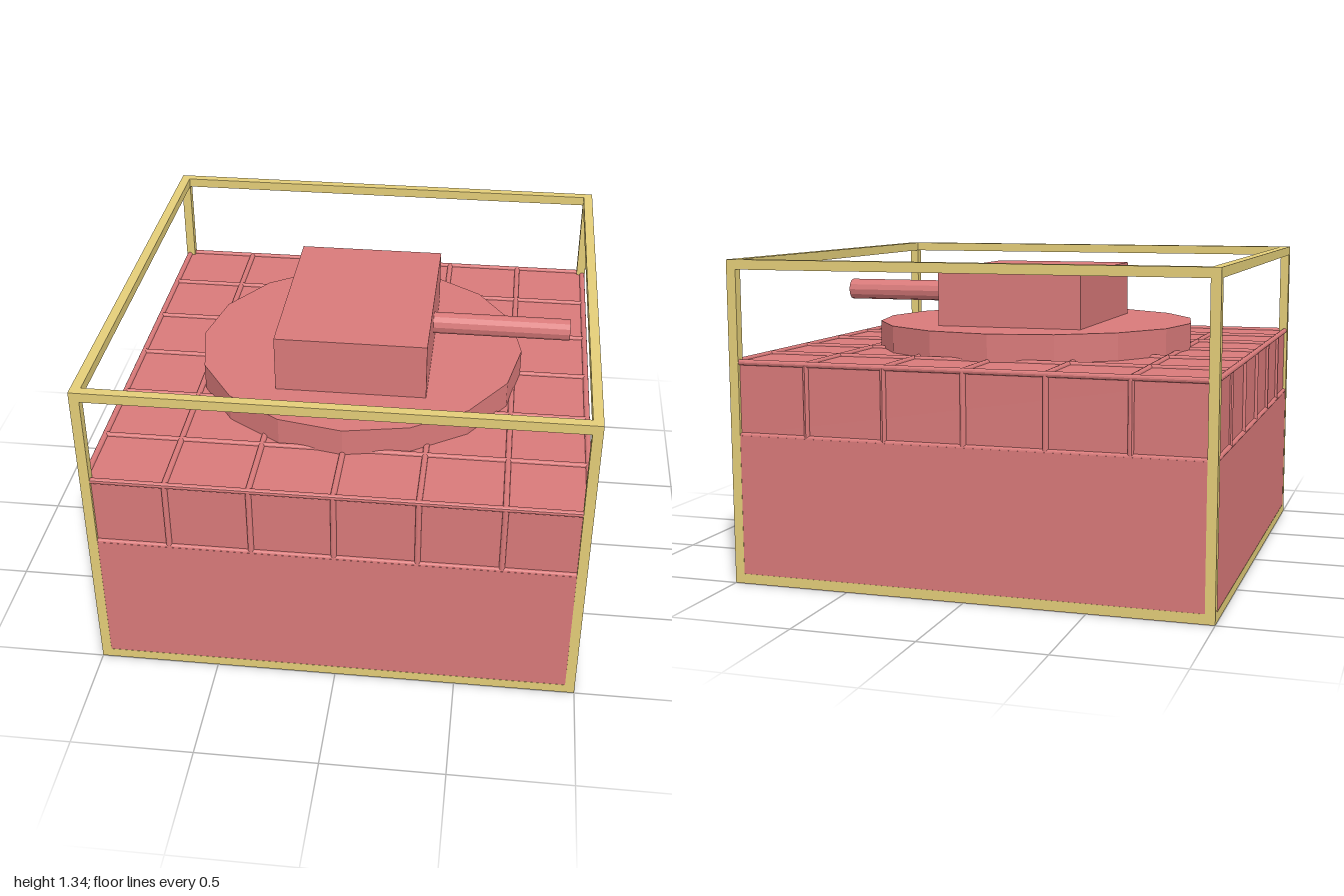
import * as THREE from 'three';

const red = new THREE.MeshStandardMaterial({ color: 0xd87979, flatShading: true });
red.name = 'dusty red';
const yellow = new THREE.MeshStandardMaterial({ color: 0xe3cd78, flatShading: true });
yellow.name = 'khaki yellow';

function add(parent, name, geometry, material, x = 0, y = 0, z = 0) {
  const mesh = new THREE.Mesh(geometry, material);
  mesh.name = name;
  mesh.position.set(x, y, z);
  parent.add(mesh);
  return mesh;
}

function group(parent, name) {
  const g = new THREE.Group();
  g.name = name;
  parent.add(g);
  return g;
}

const box = (w, h, d) => new THREE.BoxGeometry(w, h, d);

// Thin half-sunk rod along one axis
function seam(parent, axis, length, x, y, z) {
  const geometry = new THREE.CylinderGeometry(0.012, 0.012, length, 12);
  if (axis === 'x') geometry.rotateZ(Math.PI / 2);
  if (axis === 'z') geometry.rotateX(Math.PI / 2);
  add(parent, 'seam', geometry, red, x, y, z);
}

export function createModel() {
  const model = new THREE.Group();
  model.name = 'turretBlock';

  // Solid base and the slightly inset tiled storey above it
  const half = 0.986, ledge = 0.62, deck = 0.92;
  add(model, 'base', box(1.998, ledge, 1.998), red, 0, ledge / 2, 0);
  add(model, 'upperBlock', box(2 * half, deck - ledge, 2 * half), red, 0, (deck + ledge) / 2, 0);

  // Raised seams dividing the deck and the sides into six tiles each way
  const seams = group(model, 'tileSeams');
  for (let i = -2; i <= 2; i++) {
    const p = i / 3;
    seam(seams, 'x', 2 * half, 0, deck, p);
    seam(seams, 'z', 2 * half, p, deck, 0);
    for (const s of [-1, 1]) {
      seam(seams, 'y', deck - ledge, p, (deck + ledge) / 2, s * half);
      seam(seams, 'y', deck - ledge, s * half, (deck + ledge) / 2, p);
    }
  }

  // Seams around the top edge and the foot of the upper storey
  for (const s of [-1, 1]) {
    for (const y of [ledge, deck]) {
      seam(seams, 'x', 2 * half, 0, y, s * half);
      seam(seams, 'z', 2 * half, s * half, y, 0);
    }
  }

  // Turret: sixteen-sided ring, housing and barrel pointing to +x
  const turret = group(model, 'turret');
  add(turret, 'turretRing', new THREE.CylinderGeometry(0.7, 0.7, 0.115, 16), red, 0, 0.9775, 0);
  add(turret, 'turretHousing', box(0.63, 0.24, 0.84), red, 0, 1.155, 0);
  const barrel = new THREE.CylinderGeometry(0.046, 0.046, 0.6, 12).rotateZ(Math.PI / 2);
  add(turret, 'barrel', barrel, red, 0.6, 1.155, 0);

  // Open cage of square bars along all twelve edges
  const frame = group(model, 'frame');
  const bar = 0.04, top = 1.335, edge = 1 - bar / 2;
  for (const s of [-1, 1]) {
    for (const y of [bar / 2 + 0.001, top - bar / 2]) {
      add(frame, 'frameBarAcross', box(2, bar, bar), yellow, 0, y, s * edge);
      add(frame, 'frameBarAlong', box(bar, bar, 2 - 2 * bar), yellow, s * edge, y, 0);
    }
    for (const t of [-1, 1]) {
      add(frame, 'framePost', box(bar, top - 2 * bar, bar), yellow, s * edge, top / 2, t * edge);
    }
  }
  return model;
}
